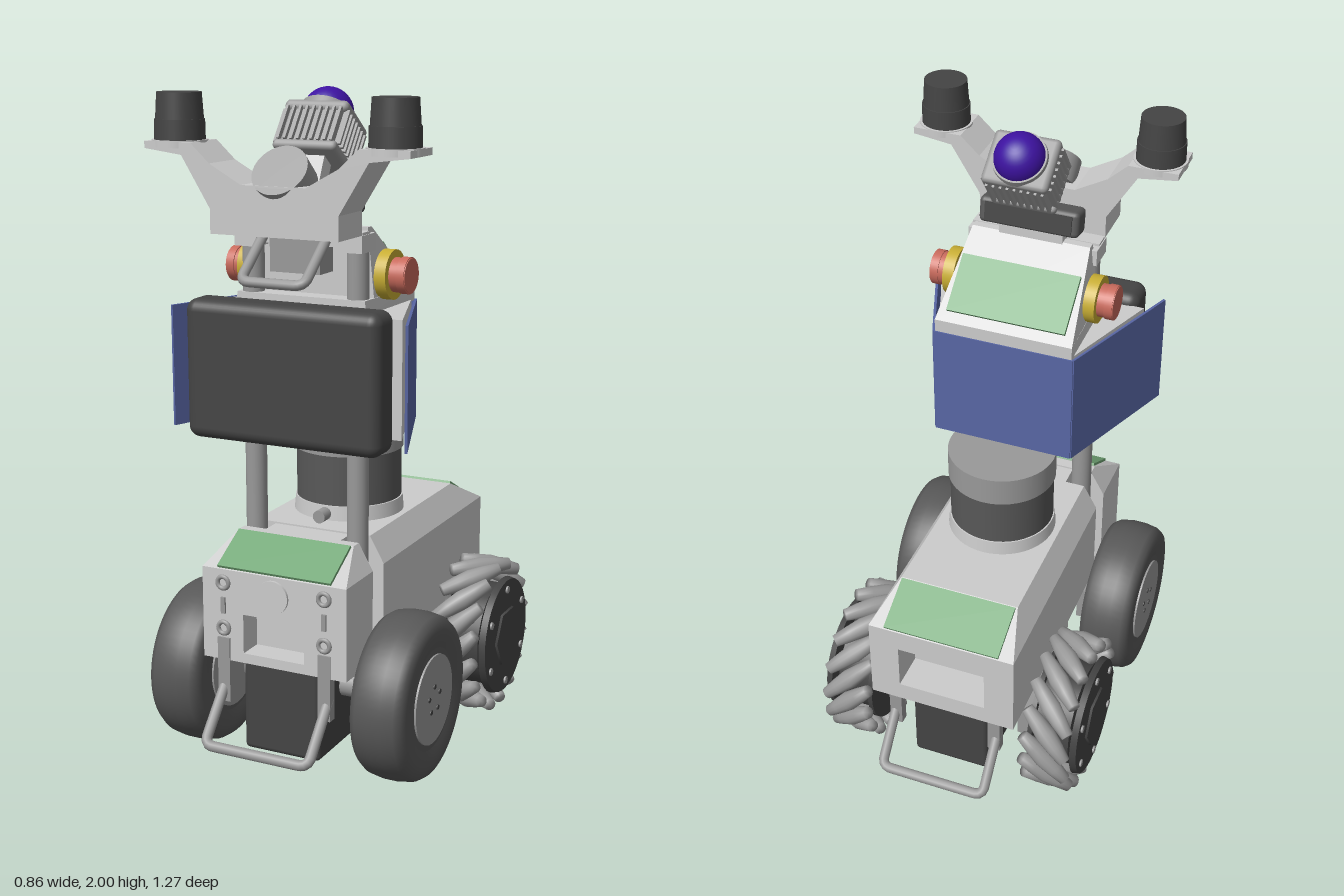
import * as THREE from 'three';
import { RoundedBoxGeometry } from 'three/addons/geometries/RoundedBoxGeometry.js';

const mat = (color, side = THREE.FrontSide) => new THREE.MeshStandardMaterial({ color, side });
const light = mat(0xcccccc), mid = mat(0x999999), rubber = mat(0x585858), dark = mat(0x444444);
const green = mat(0x74a878), blue = mat(0x5866a4, THREE.DoubleSide), red = mat(0xc86a5c);
const yellow = mat(0xc8ae34), purple = mat(0x3d12a0);

export function createModel() {
  const model = new THREE.Group();
  const add = (name, geo, m, x = 0, y = 0, z = 0, parent = model) => {
    const mesh = new THREE.Mesh(geo, m);
    mesh.name = name;
    mesh.position.set(x, y, z);
    parent.add(mesh);
    return mesh;
  };
  const group = (name, x = 0, y = 0, z = 0, parent = model) => {
    const g = new THREE.Group();
    g.name = name;
    g.position.set(x, y, z);
    parent.add(g);
    return g;
  };
  const box = (w, h, d) => new THREE.BoxGeometry(w, h, d);
  const cyl = (r0, r1, h, n = 40) => new THREE.CylinderGeometry(r1, r0, h, n);
  const cylX = (r0, r1, h, n = 40) => cyl(r0, r1, h, n).rotateZ(-Math.PI / 2);
  const cylZ = (r0, r1, h, n = 40) => cyl(r0, r1, h, n).rotateX(Math.PI / 2);

  // Six-sided block; each level is [y, front half width, back half width, front z, back z]
  const block = (bottom, top) => {
    const g = box(2, 2, 2), p = g.attributes.position;
    for (let i = 0; i < p.count; i++) {
      const [y, xf, xb, zf, zb] = p.getY(i) > 0 ? top : bottom, front = p.getZ(i) > 0;
      p.setXYZ(i, p.getX(i) * (front ? xf : xb), y, front ? zf : zb);
    }
    g.computeVertexNormals();
    return g;
  };
  // Upright wall with a rectangular opening
  const wall = (w, y0, y1, hw, h0, h1, depth) => {
    const rect = (S, a, b, c) => new S([[-a, b], [a, b], [a, c], [-a, c]].map(q => new THREE.Vector2(...q)));
    const s = rect(THREE.Shape, w, y0, y1);
    s.holes.push(rect(THREE.Path, hw, h0, h1));
    return new THREE.ExtrudeGeometry(s, { depth, bevelEnabled: false });
  };
  // Round bar bent through a few corners
  const bar = (pts, r) => {
    const path = new THREE.CurvePath(), v = pts.map(p => new THREE.Vector3(...p));
    let from = v[0];
    for (let i = 1; i < v.length - 1; i++) {
      const a = v[i].clone().add(v[i - 1].clone().sub(v[i]).setLength(0.03));
      const b = v[i].clone().add(v[i + 1].clone().sub(v[i]).setLength(0.03));
      path.add(new THREE.LineCurve3(from, a));
      path.add(new THREE.QuadraticBezierCurve3(a, v[i], b));
      from = b;
    }
    path.add(new THREE.LineCurve3(from, v[v.length - 1]));
    return new THREE.TubeGeometry(path, 60, r, 12);
  };

  // Chassis: front head, slot for the posts, main hull
  const hull = group('chassis');
  add('frontWall', wall(0.235, 0.36, 0.64, 0.1, 0.39, 0.51, 0.08), light, 0, 0, 0.42, hull);
  add('frontHead', block([0.36, 0.235, 0.235, 0.42, 0.325], [0.64, 0.235, 0.235, 0.42, 0.325]), light, 0, 0, 0, hull);
  add('frontRoof', block([0.64, 0.235, 0.235, 0.5, 0.325], [0.72, 0.19, 0.19, 0.36, 0.325]), light, 0, 0, 0, hull);
  add('slotCore', box(0.25, 0.35, 0.1), light, 0, 0.54, 0.285, hull);
  add('mainHull', block([0.36, 0.235, 0.235, 0.25, -0.4], [0.64, 0.235, 0.235, 0.25, -0.4]), light, 0, 0, 0, hull);
  add('rearWall', wall(0.235, 0.36, 0.64, 0.14, 0.42, 0.57, 0.12), light, 0, 0, -0.52, hull);
  add('mainRoof', block([0.64, 0.235, 0.235, 0.25, -0.52], [0.72, 0.19, 0.19, 0.25, -0.365]), light, 0, 0, 0, hull);
  add('frontPanel', box(0.37, 0.012, 0.15), green, 0, 0.682, 0.432, hull).rotation.x = 0.52;
  add('rearPanel', box(0.37, 0.012, 0.165), green, 0, 0.682, -0.444, hull).rotation.x = -0.476;
  add('frontLens', cylZ(0.05, 0.05, 0.012), light, 0, 0.58, 0.502, hull);
  for (const s of [-1, 1]) {
    for (const y of [0.46, 0.6]) add('sensorRing', new THREE.TorusGeometry(0.018, 0.007, 8, 20), mid, s * 0.165, y, 0.502, hull);
    add('slotLight', box(0.014, 0.05, 0.008), mid, s * 0.165, 0.53, 0.502, hull);
  }

  // Drive boxes, axle carriers and bumpers at both ends
  for (const e of [1, -1]) {
    const end = group(e > 0 ? 'frontEnd' : 'rearEnd');
    add('driveBox', new RoundedBoxGeometry(0.25, 0.29, 0.38, 2, 0.015), dark, 0, 0.215, e * 0.27, end);
    add('bumper', bar([[-0.17, 0.29, e * 0.48], [-0.17, 0.135, e * 0.617], [0.17, 0.135, e * 0.617], [0.17, 0.29, e * 0.48]], 0.016), mid, 0, 0, 0, end);
    for (const s of [-1, 1]) {
      add('bumperBracket', box(0.04, 0.2, 0.03), mid, s * 0.165, 0.33, e * 0.49, end);
      add('axleCarrier', box(0.05, 0.12, 0.2), mid, s * 0.225, 0.26, e * 0.285, end);
      add('axle', cylX(0.04, 0.04, 0.17, 20), mid, s * 0.2, 0.26, e * 0.285, end);
    }
  }
  // Centre link between the drive boxes
  for (const s of [-1, 1]) add('linkPlate', box(0.03, 0.13, 0.1), light, s * 0.2, 0.325, 0, hull);
  for (const s of [-1, 1]) add('linkEye', new THREE.TorusGeometry(0.042, 0.01, 8, 24).rotateY(Math.PI / 2), mid, s * 0.2, 0.22, 0, hull);

  // Wheels: plain tyres in front, slanted-roller wheels behind
  const tyre = new THREE.LatheGeometry([[0.12, -0.07], [0.17, -0.082], [0.205, -0.085], [0.232, -0.079], [0.245, -0.06], [0.252, -0.02],
    [0.252, 0.02], [0.245, 0.06], [0.232, 0.079], [0.205, 0.085], [0.17, 0.082], [0.12, 0.07]].map(p => new THREE.Vector2(...p)), 64).rotateZ(-Math.PI / 2);
  const roller = new THREE.LatheGeometry([[0, -0.1], [0.019, -0.1], [0.026, -0.05], [0.031, 0], [0.026, 0.05], [0.019, 0.1], [0, 0.1]]
    .map(p => new THREE.Vector2(...p)), 14).rotateZ(-Math.PI / 2);
  for (const s of [-1, 1]) {
    const front = group('frontWheel', s * 0.334, 0.26, 0.287);
    front.scale.x = s;
    add('tyre', tyre, rubber, 0, 0, 0, front);
    add('rim', cylX(0.172, 0.172, 0.156, 48), rubber, 0, 0, 0, front);
    add('hubCap', cylX(0.138, 0.135, 0.168, 48), mid, 0, 0, 0, front);
    const rear = group('rollerWheel', s * 0.33, 0.26, -0.287);
    rear.scale.x = s;
    add('drum', cylX(0.165, 0.165, 0.12), dark, 0, 0, 0, rear);
    add('innerFlange', cylX(0.19, 0.19, 0.015), dark, -0.06, 0, 0, rear);
    add('outerFlange', cylX(0.19, 0.185, 0.02), dark, 0.083, 0, 0, rear);
    add('hexHub', cylX(0.1, 0.095, 0.012, 6), dark, 0.094, 0, 0, rear);
    for (let i = 0; i < 16; i++) {
      const arm = group('rollerMount', 0, 0, 0, rear);
      arm.rotation.x = i * Math.PI / 8;
      add('roller', roller, mid, 0, 0.219, 0, arm).rotation.y = Math.PI / 4;
    }
    for (let i = 0; i < 6; i++) {
      const a = i * Math.PI / 3;
      add('flangeBolt', cylX(0.012, 0.012, 0.01, 10), mid, 0.094, 0.155 * Math.cos(a), 0.155 * Math.sin(a), rear);
      if (i < 5) add('hubBolt', cylX(0.008, 0.008, 0.008, 10), dark, 0.083, 0.04 * Math.cos(a * 1.2), 0.04 * Math.sin(a * 1.2), front);
    }
  }

  // Scanner drum on the roof
  add('scannerBase', cyl(0.17, 0.166, 0.045, 48), light, 0, 0.742, 0);
  add('scannerWindow', cyl(0.162, 0.162, 0.16, 48), rubber, 0, 0.845, 0);
  add('scannerCap', cyl(0.168, 0.168, 0.09, 48), mid, 0, 0.965, 0);
  add('scannerPlug', cylZ(0.02, 0.02, 0.06, 16), mid, 0, 0.74, 0.18);

  // Posts
  for (const s of [-1, 1]) {
    add('post', cyl(0.032, 0.032, 1.2, 24), mid, s * 0.168, 1.0, 0.287);
    add('postClamp', box(0.07, 0.05, 0.09), light, s * 0.168, 1.59, 0.29);
  }

  // Display housing with folded blue side screens
  const cabin = group('displayHousing');
  add('core', block([1.045, 0.33, 0.21, 0.34, 0.01], [1.39, 0.33, 0.21, 0.34, 0.01]), light, 0, 0, 0, cabin);
  add('rearScreen', box(0.44, 0.36, 0.008), blue, 0, 1.21, 0, cabin);
  for (const s of [-1, 1]) {
    add('sideScreen', box(0.008, 0.36, 0.437), blue, s * 0.297, 1.21, 0.205, cabin).rotation.y = s * Math.atan2(0.155, 0.41);
    add('buttonCollar', cylX(0.072, 0.072, 0.035), yellow, s * 0.222, 1.49, 0.19, cabin);
    add('stopButton', cylX(0.05, 0.05, 0.06), red, s * 0.26, 1.49, 0.19, cabin);
    add('stopButtonHead', cylX(0.053, 0.053, 0.025), red, s * 0.275, 1.49, 0.19, cabin);
  }
  add('display', new RoundedBoxGeometry(0.62, 0.41, 0.12, 4, 0.035), dark, 0, 1.215, 0.395, cabin);
  add('console', block([1.43, 0.205, 0.215, 0.26, 0], [1.63, 0.185, 0.185, 0.26, 0.235]), light, 0, 0, 0, cabin);
  add('consoleBase', block([1.385, 0.21, 0.215, 0.32, 0], [1.43, 0.205, 0.215, 0.32, 0]), light, 0, 0, 0, cabin);
  add('consolePanel', box(0.37, 0.012, 0.18), green, 0, 1.515, 0.09, cabin).rotation.x = -0.706;
  add('crossBrace', box(0.4, 0.045, 0.05), light, 0, 1.6, 0.3, cabin);
  add('socketBox', box(0.16, 0.1, 0.08), mid, 0, 1.55, 0.31, cabin);
  add('handle', bar([[-0.1, 1.61, 0.34], [-0.1, 1.49, 0.488], [0.1, 1.49, 0.488], [0.1, 1.61, 0.34]], 0.015), mid, 0, 0, 0, cabin);

  // Forked mast bracket carrying two antennas
  const half = [[0.41, 1.845], [0.41, 1.865], [0.26, 1.865], [0.2, 1.81], [0.1, 1.755]];
  const lower = [[0.2, 1.615], [0.2, 1.685], [0.29, 1.83]];
  const right = [...lower, ...half];
  const fork = new THREE.Shape([...right, ...right.map(([x, y]) => [-x, y]).reverse()].map(p => new THREE.Vector2(...p)));
  add('forkBracket', new THREE.ExtrudeGeometry(fork, { depth: 0.145, bevelEnabled: false }), light, 0, 0, 0.33);
  for (const s of [-1, 1]) {
    const antenna = group('antenna', s * 0.335, 0, 0.405);
    add('pad', cyl(0.08, 0.08, 0.02), light, 0, 1.858, 0, antenna);
    add('antennaBase', cyl(0.073, 0.072, 0.06), dark, 0, 1.895, 0, antenna);
    add('antennaCap', cyl(0.069, 0.064, 0.075), dark, 0, 1.9625, 0, antenna);
  }
  add('frontDisc', cyl(0.083, 0.083, 0.08), mid, 0, 1.77, 0.405).rotation.x = 0.86;

  // Tilted sensor head with cooling ribs and dome
  const head = group('sensorHead', 0, 1.865, 0.19);
  head.rotation.x = -0.64;
  add('headCore', new RoundedBoxGeometry(0.18, 0.14, 0.15, 2, 0.02), mid, 0, 0, 0, head);
  add('headTop', new RoundedBoxGeometry(0.2, 0.035, 0.165, 2, 0.015), mid, 0, 0.065, 0, head);
  add('headBottom', new RoundedBoxGeometry(0.2, 0.03, 0.165, 2, 0.012), mid, 0, -0.065, 0, head);
  for (let i = -4; i <= 4; i++) {
    add('ribAcross', box(0.008, 0.11, 0.175), mid, i * 0.021, 0, 0, head);
    if (Math.abs(i) < 4) add('ribAlong', box(0.212, 0.11, 0.008), mid, 0, 0, i * 0.021, head);
  }
  add('domeRing', cyl(0.082, 0.08, 0.02), mid, 0, 0.085, 0, head);
  add('dome', new THREE.SphereGeometry(0.075, 32, 20), purple, 0, 0.088, 0, head);

  // Rear camera bar and the neck that holds the head
  const cam = group('rearCamera', 0, 1.7, 0.245);
  cam.rotation.x = 0.17;
  add('cameraBody', new RoundedBoxGeometry(0.31, 0.08, 0.075, 2, 0.015), rubber, 0, 0, 0, cam);
  add('cameraFace', box(0.27, 0.055, 0.01), dark, 0, 0, -0.037, cam);
  add('neck', box(0.11, 0.2, 0.05), light, 0, 1.74, 0.285).rotation.x = -0.45;
  add('neckFoot', box(0.2, 0.03, 0.12), light, 0, 1.64, 0.29);
  return model;
}
